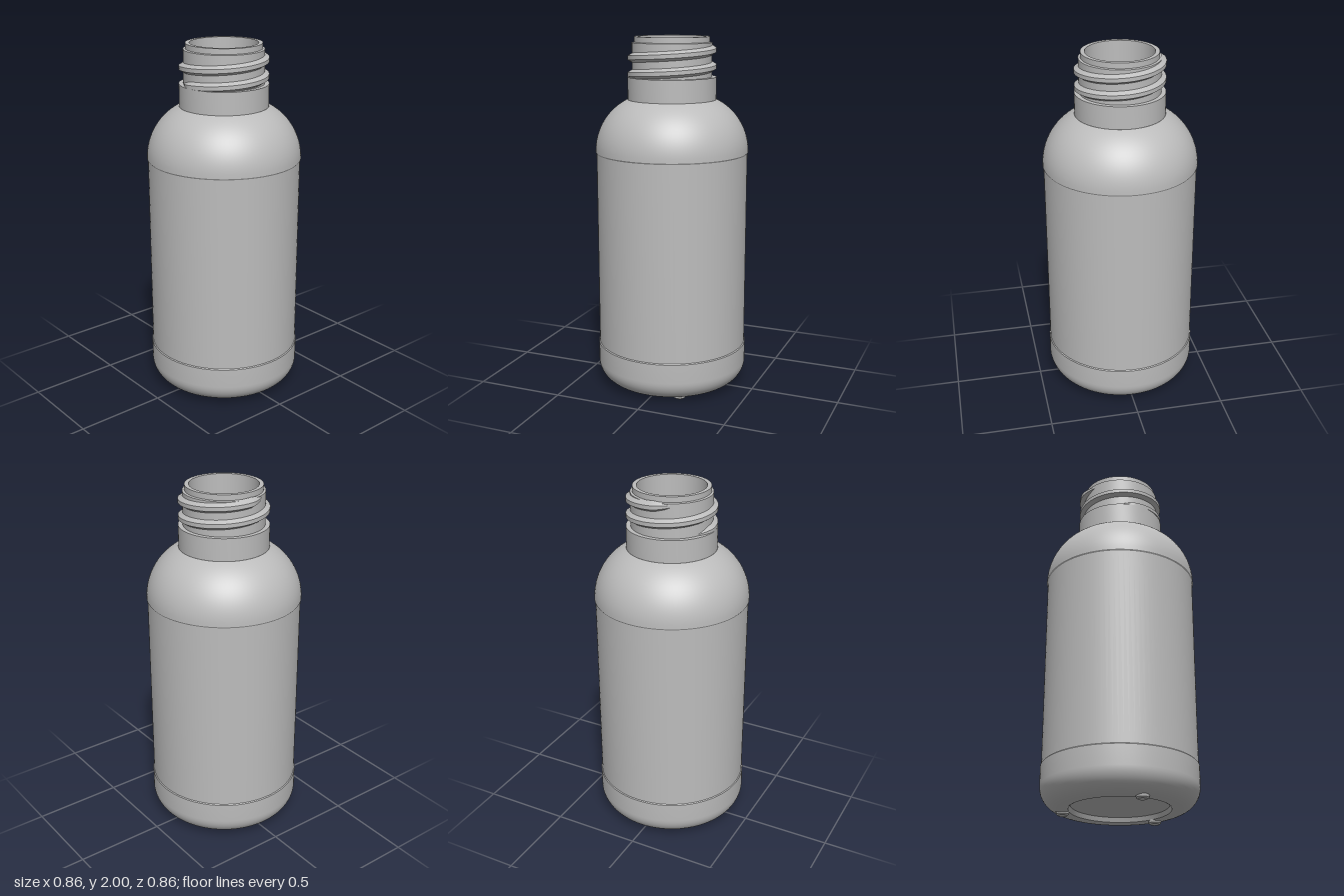
import * as THREE from 'three';
import { toCreasedNormals } from 'three/addons/utils/BufferGeometryUtils.js';

const SEG = 96;
const BODY = 0.43, LABEL = 0.425, COLLAR = 0.247, NECK = 0.222, LIP = 0.21, BORE = 0.187;

// Points [radius, y] along an arc, angles in degrees
function arc(cx, cy, r, from, to, n) {
  return Array.from({ length: n + 1 }, (_, i) => {
    const a = THREE.MathUtils.degToRad(from + (to - from) * i / n);
    return [cx + r * Math.cos(a), cy + r * Math.sin(a)];
  });
}

function lathe(name, points, material, parent) {
  const g = new THREE.LatheGeometry(points.map(([x, y]) => new THREE.Vector2(x, y)), SEG);
  const mesh = new THREE.Mesh(toCreasedNormals(g, 0.5), material);
  mesh.name = name;
  parent.add(mesh);
}

// Helical ridge with a trapezoid section, fading into the neck at both ends
function threadGeometry() {
  const start = -480, end = 210, n = 230, fade = 28;
  const pos = [], index = [];
  for (let i = 0; i <= n; i++) {
    const deg = start + (end - start) * i / n;
    const a = THREE.MathUtils.degToRad(deg);
    const t = Math.min(1, (deg - start) / fade, (end - deg) / fade);
    const y = 1.9 + 0.09 * deg / 360;
    const root = NECK - 0.006, crest = root + (COLLAR - 0.001 - root) * t;
    const section = [[root, -0.03], [crest, -0.011], [crest, 0.011], [root, 0.03]];
    for (const [r, dy] of section) pos.push(r * Math.cos(a), y + dy * (0.4 + 0.6 * t), -r * Math.sin(a));
    if (i === n) break;
    for (let j = 0; j < 3; j++) {
      const p = i * 4 + j, q = p + 4;
      index.push(p, q, q + 1, p, q + 1, p + 1);
    }
  }
  const g = new THREE.BufferGeometry();
  g.setAttribute('position', new THREE.Float32BufferAttribute(pos, 3));
  g.setIndex(index);
  return toCreasedNormals(g, 0.5);
}

export function createModel() {
  const bottle = new THREE.Group();
  bottle.name = 'bottle';
  const grey = new THREE.MeshStandardMaterial({ color: 0xbcbcbc });
  grey.name = 'light grey';

  // Rounded base with a shallow recess underneath
  lathe('base', [[0, 0.045], [0.265, 0.045], [0.275, 0.02], [0.285, 0.015],
    ...arc(0.31, 0.135, 0.12, -90, 0, 12), [BODY, 0.245], [LABEL, 0.25]], grey, bottle);

  // Straight wall, set back slightly as a label panel
  lathe('labelPanel', [[LABEL, 0.25], [LABEL, 1.357]], grey, bottle);

  // Domed shoulder
  lathe('shoulder', [[LABEL, 1.357], [BODY, 1.365],
    ...arc(0.109, 1.366, 0.321, 0, 64.3, 16).slice(1), [COLLAR, 1.655]], grey, bottle);

  // Collar, threaded neck and lip
  lathe('neck', [[COLLAR, 1.65], [COLLAR, 1.78], [NECK, 1.78], [NECK, 1.967],
    [LIP, 1.97], [LIP, 2], [BORE, 2]], grey, bottle);

  // Hollow inside, running from the mouth down to the floor
  lathe('interior', [[BORE, 2], [BORE, 1.63], [0.22, 1.62],
    ...arc(0.109, 1.366, 0.286, 66, 0, 12), [0.395, 0.15],
    ...arc(0.31, 0.155, 0.085, 0, -90, 8), [0, 0.07]], grey, bottle);

  const thread = new THREE.Mesh(threadGeometry(), grey);
  thread.name = 'screwThread';
  bottle.add(thread);

  // Three small rounded feet
  for (let i = 0; i < 3; i++) {
    const a = i * Math.PI * 2 / 3;
    const foot = new THREE.Group();
    foot.name = 'foot';
    lathe('footPad', [[0, 0], [0.025, 0], [0.034, 0.007], [0.038, 0.03]], grey, foot);
    foot.position.set(0.31 * Math.sin(a), 0, 0.31 * Math.cos(a));
    bottle.add(foot);
  }
  return bottle;
}
